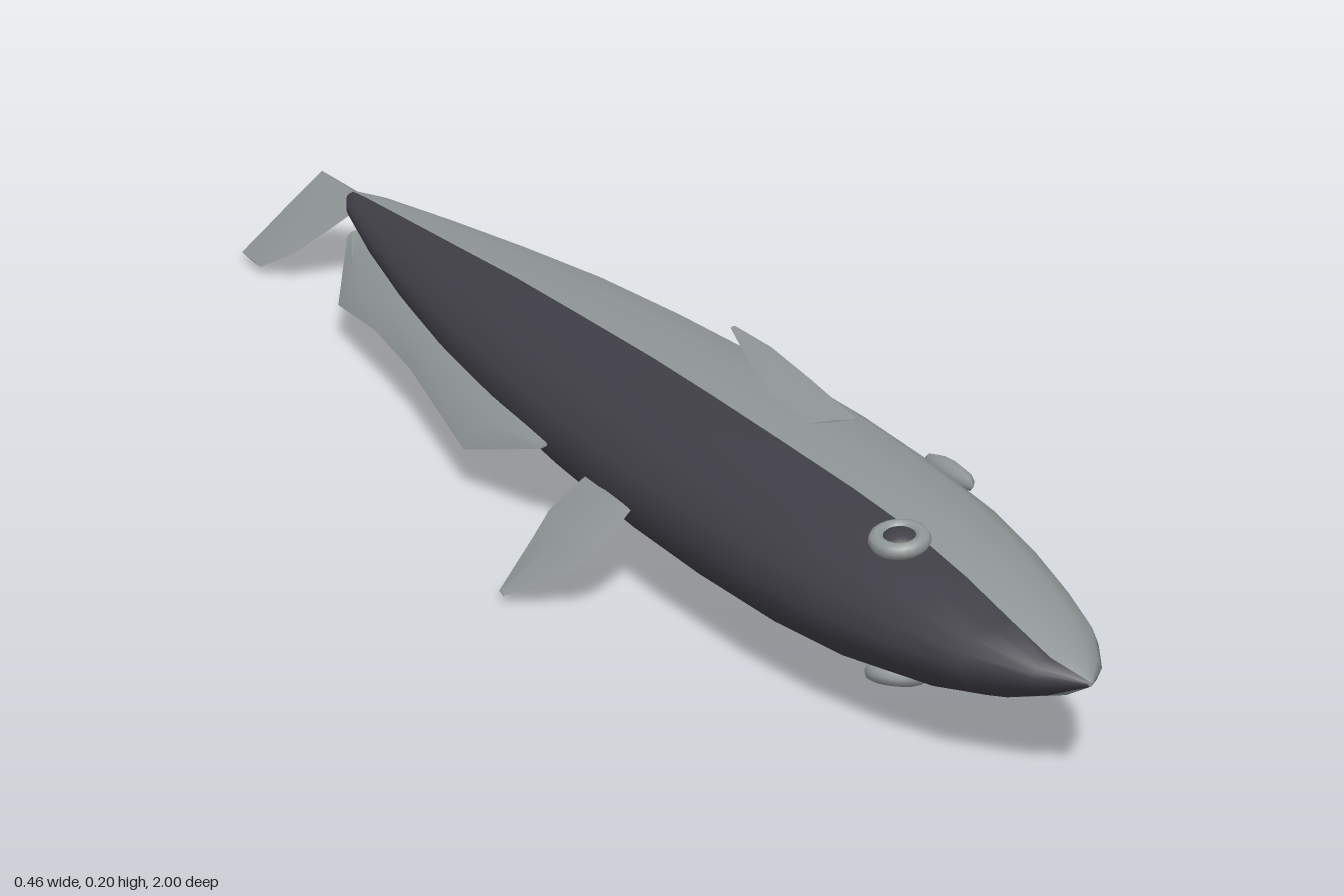
import * as THREE from 'three';
import { toCreasedNormals } from 'three/addons/utils/BufferGeometryUtils.js';

const CX = 0.0425; // x of the fish's middle line
const CY = 0.1;

// Joins closed rings of points into a skin
function skin(rings) {
  const n = rings[0].length;
  const geo = new THREE.BufferGeometry();
  geo.setAttribute('position', new THREE.Float32BufferAttribute(rings.flat(2), 3));
  const cells = (from, to) => {
    const out = [];
    for (let i = 0; i < rings.length - 1; i++) {
      for (let j = from; j < to; j++) {
        const a = i * n + j, b = i * n + (j + 1) % n;
        out.push(a, a + n, b, b, a + n, b + n);
      }
    }
    return out;
  };
  return { geo, cells };
}

// Thin lens-shaped fin: stations are [rootPoint, tipPoint], normal gives its thickness direction
function finGeometry(stations, normal, thick) {
  const rings = stations.map(([a, b], i) => {
    const t = i === 0 || i === stations.length - 1 ? thick * 0.3 : thick;
    const mid = a.map((v, k) => (v + b[k]) / 2);
    return [a, mid.map((v, k) => v + normal[k] * t), b, mid.map((v, k) => v - normal[k] * t)];
  });
  const { geo, cells } = skin(rings);
  const index = cells(0, 4);
  const last = (rings.length - 1) * 4;
  index.push(0, 1, 2, 0, 2, 3, last, last + 2, last + 1, last, last + 3, last + 2);
  geo.setIndex(index);
  return toCreasedNormals(geo, 0.7);
}

// Body of oval sections: [z, centre x, half width, half height, x where the dark back ends]
function bodyGeometry() {
  const sections = [
    [1.0, 0.068, 0.002, 0.002, 0.068],
    [0.97, 0.062, 0.035, 0.02, 0.045],
    [0.92, 0.053, 0.07, 0.038, 0.033],
    [0.85, 0.046, 0.095, 0.054, 0.027],
    [0.76, CX, 0.118, 0.067, 0.022],
    [0.65, CX, 0.136, 0.075, 0.016],
    [0.5, CX, 0.148, 0.079, 0.011],
    [0.35, CX, 0.153, 0.08, 0.009],
    [0.2, CX, 0.151, 0.078, 0.009],
    [0, CX, 0.141, 0.071, 0.01],
    [-0.2, CX, 0.125, 0.061, 0.014],
    [-0.4, CX, 0.1, 0.046, 0.02],
    [-0.6, CX, 0.068, 0.03, 0.028],
    [-0.78, CX, 0.033, 0.015, 0.036],
    [-0.84, CX, 0.012, 0.008, 0.04],
    [-0.85, CX, 0.001, 0.001, CX],
  ];
  const half = 8;
  const rings = sections.map(([z, x, w, h, edge]) => {
    const split = Math.acos((edge - x) / w);
    const ring = [];
    for (let j = 0; j < half * 2; j++) {
      const a = j < half
        ? -split + (2 * split * j) / half
        : split + ((2 * Math.PI - 2 * split) * (j - half)) / half;
      ring.push([x + w * Math.cos(a), CY + h * Math.sin(a), z]);
    }
    return ring;
  });
  const { geo, cells } = skin(rings);
  const belly = cells(0, half), back = cells(half, half * 2);
  geo.setIndex([...belly, ...back]);
  geo.addGroup(0, belly.length, 0);
  geo.addGroup(belly.length, back.length, 1);
  geo.computeVertexNormals();
  return geo;
}

export function createModel() {
  const grey = new THREE.MeshStandardMaterial({ color: 0x8f9695, side: THREE.DoubleSide });
  const dark = new THREE.MeshStandardMaterial({ color: 0x403e46, side: THREE.DoubleSide });
  grey.name = 'pale grey';
  dark.name = 'dark back';

  const model = new THREE.Group();
  model.name = 'fish';
  const add = (parent, name, geo, mat) => {
    const mesh = new THREE.Mesh(geo, mat);
    mesh.name = name;
    parent.add(mesh);
    return mesh;
  };

  add(model, 'body', bodyGeometry(), [grey, dark]);

  // Long drooping fins along both edges: [z, body edge, fin edge, fin edge y]
  const edge = [
    [0.19, 0.145, 0.156, 0.088],
    [0.04, 0.135, 0.184, 0.045],
    [-0.22, 0.115, 0.15, 0.058],
    [-0.38, 0.095, 0.137, 0.06],
    [-0.55, 0.07, 0.124, 0.044],
    [-0.62, 0.058, 0.095, 0.058],
    [-0.7, 0.045, 0.06, 0.088],
  ];
  for (const side of [1, -1]) {
    const stations = edge.map(([z, root, tip, y]) => [[CX + side * root, 0.095, z], [CX + side * tip, y, z]]);
    add(model, side > 0 ? 'bellyFin' : 'backFin', finGeometry(stations, [side * 0.7, 0.7, 0], 0.007), grey);
  }

  // Small fin hanging from the back
  const small = [
    [-0.09, 0.1, 0.29, 0.4], [-0.15, 0.063, 0.305, 0.435],
    [-0.175, 0.045, 0.325, 0.43], [-0.23, 0.01, 0.37, 0.385],
  ];
  add(model, 'smallBackFin', finGeometry(
    small.map(([x, y, z0, z1]) => [[x, y, z0], [x, y, z1]]), [-0.55, 0.83, 0], 0.009), grey);

  // Tail, two lobes folded down from a middle ridge: [x, y, front z, rear z]
  const lobes = {
    leftTailLobe: [[CX, 0.105, -0.79, -0.975], [0.09, 0.068, -0.825, -0.985],
      [0.13, 0.035, -0.89, -0.993], [0.16, 0.011, -0.96, -1]],
    rightTailLobe: [[CX, 0.105, -0.79, -0.975], [-0.01, 0.065, -0.81, -0.965],
      [-0.05, 0.034, -0.83, -0.956], [-0.08, 0.011, -0.87, -0.95]],
  };
  for (const [name, rows] of Object.entries(lobes)) {
    const s = name === 'leftTailLobe' ? 0.6 : -0.6;
    add(model, name, finGeometry(rows.map(([x, y, z0, z1]) => [[x, y, z0], [x, y, z1]]), [s, 0.8, 0], 0.006), grey);
  }

  // Parts repeated on both flanks, mirrored about the mid height
  const flank = [
    [[0.045, 0.187, 0.495], [0.092, 0.189, 0.505]],
    [[0.05, 0.19, 0.4], [0.103, 0.193, 0.38]],
    [[0.075, 0.193, 0.29], [0.112, 0.195, 0.27]],
    [[0.103, 0.195, 0.19], [0.109, 0.196, 0.19]],
  ];
  for (const up of [true, false]) {
    const half = new THREE.Group();
    half.name = up ? 'upperFlank' : 'lowerFlank';
    if (!up) {
      half.scale.y = -1;
      half.position.y = 2 * CY;
    }
    add(half, 'pectoralFin', finGeometry(flank, [0, 1, 0], 0.004), grey);

    const pelvic = add(half, 'pelvicFin', new THREE.SphereGeometry(1, 8, 6), grey);
    pelvic.scale.set(0.013, 0.012, 0.05);
    pelvic.position.set(0.188, 0.127, 0.52);

    const eye = new THREE.Group();
    eye.name = 'eye';
    add(eye, 'eyeRing', new THREE.TorusGeometry(0.021, 0.008, 8, 20), grey);
    add(eye, 'pupil', new THREE.SphereGeometry(0.018, 16, 10), dark).scale.z = 0.5;
    eye.position.set(0.002, 0.165, 0.77);
    eye.rotation.set(-Math.PI / 2 + 0.15, -0.15, 0);
    half.add(eye);
    model.add(half);
  }
  return model;
}
